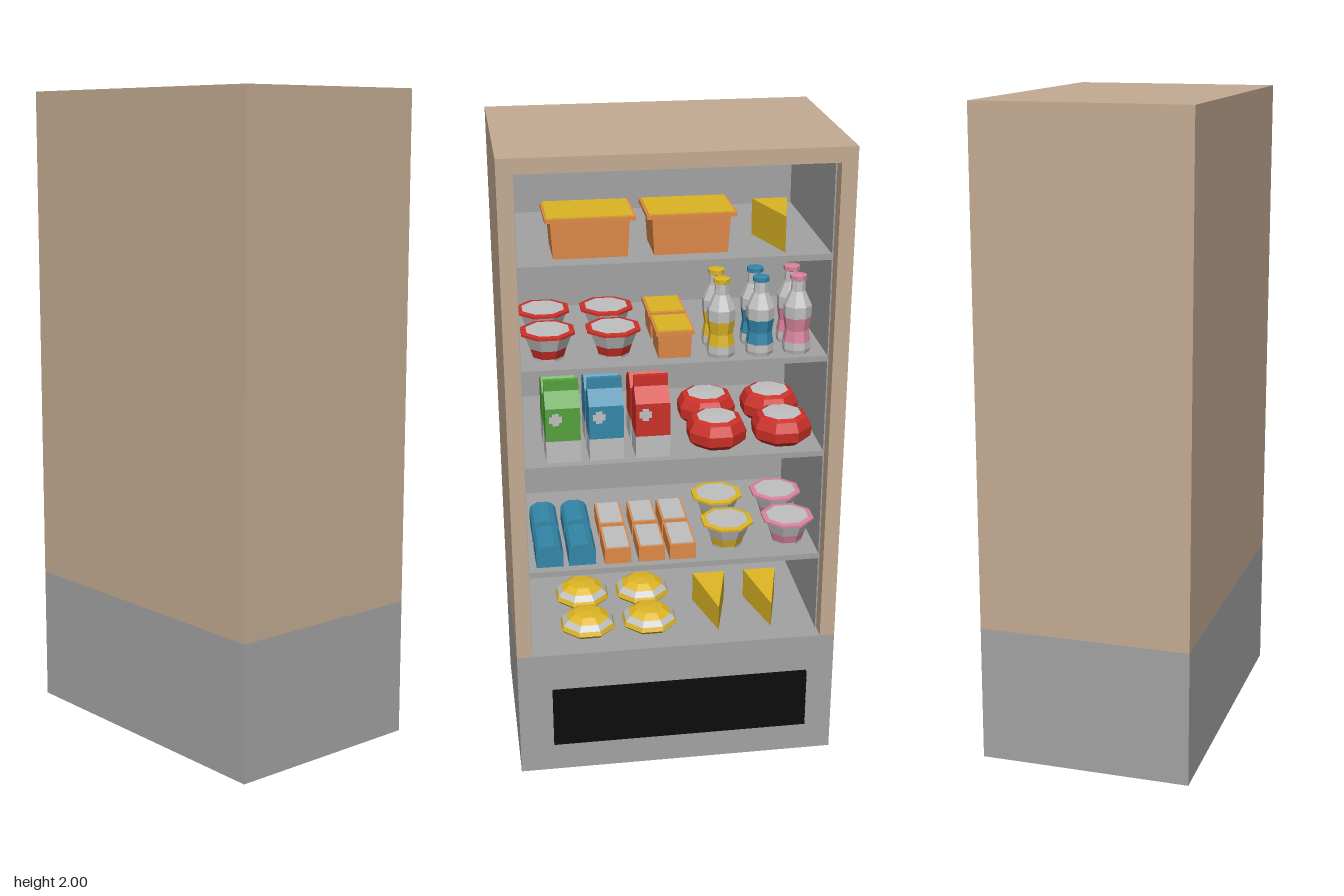
import * as THREE from 'three';

const mat = (name, color) => {
  const m = new THREE.MeshStandardMaterial({ color, flatShading: true });
  m.name = name;
  return m;
};

export function createModel() {
  const tan = mat('tan', 0xc4ab93), grey = mat('grey', 0xa3a3a3), black = mat('black', 0x0b0b0b);
  const pale = mat('pale', 0xc0c0c0), orange = mat('orange', 0xe08a48), yellow = mat('yellow', 0xdcb424);
  const red = mat('red', 0xcc3028), blue = mat('blue', 0x3486a8), green = mat('green', 0x55a03c);
  const pink = mat('pink', 0xd8849c);
  const root = new THREE.Group();
  root.name = 'foodCabinet';

  const add = (parent, name, geo, material, x = 0, y = 0, z = 0) => {
    const m = new THREE.Mesh(geo, material);
    m.name = name;
    m.position.set(x, y, z);
    parent.add(m);
    return m;
  };
  // box given by its bounds
  const box = (parent, name, material, x0, x1, y0, y1, z0, z1) =>
    add(parent, name, new THREE.BoxGeometry(x1 - x0, y1 - y0, z1 - z0), material,
      (x0 + x1) / 2, (y0 + y1) / 2, (z0 + z1) / 2);
  const lathe = (parent, name, material, pts, sides = 8) =>
    add(parent, name, new THREE.LatheGeometry(pts.map(p => new THREE.Vector2(...p)), sides, Math.PI / 8), material);
  const item = (name, x, y, z) => {
    const g = new THREE.Group();
    g.name = name;
    g.position.set(x, y, z);
    root.add(g);
    return g;
  };
  // side profile in x and y, extruded across z
  const prism = (parent, name, material, pts, width) => {
    const geo = new THREE.ExtrudeGeometry(new THREE.Shape(pts.map(p => new THREE.Vector2(...p))),
      { depth: width, bevelEnabled: false });
    return add(parent, name, geo.translate(0, 0, -width / 2), material);
  };

  // cabinet shell
  const X0 = -0.335, X1 = 0.32, Z = 0.505, ZI = 0.458, FLOOR = 0.425, CEIL = 1.955, XB = -0.29, XF = 0.27;
  box(root, 'base', [grey, grey, grey, black, grey, grey], X0, X1, 0, FLOOR, -Z, Z);
  box(root, 'top', tan, X0, X1, CEIL, 2, -Z, Z);
  box(root, 'backWall', tan, X0, XB, FLOOR, CEIL, -Z, Z);
  box(root, 'ceilingLining', grey, XB, XF, CEIL - 0.004, CEIL, -ZI, ZI);
  box(root, 'backLining', grey, XB, XB + 0.004, FLOOR, CEIL, -ZI, ZI);
  for (const s of [-1, 1]) {
    const side = box(root, 'sideWall', tan, XB, X1, FLOOR, CEIL, ZI, Z);
    const lining = box(root, 'sideLining', grey, XB, XF, FLOOR, CEIL, ZI - 0.004, ZI);
    side.position.z *= s;
    lining.position.z *= s;
  }
  const shelfY = [0.695, 1.05, 1.36, 1.675];
  for (const y of shelfY) box(root, 'shelf', grey, XB, XF, y - 0.018, y, -ZI, ZI);

  // vent grille with slats
  box(root, 'grille', black, X1, 0.329, 0.1, 0.3, -0.417, 0.398);
  for (let i = 0; i < 10; i++)
    box(root, 'grilleSlat', black, 0.329, 0.335, 0.102 + i * 0.02, 0.116 + i * 0.02, -0.417, 0.398);

  // bin with a tapered body, rim and lid
  const bin = (x, y, z, w, d, h) => {
    const g = item('lidded bin', x, y, z);
    const body = new THREE.CylinderGeometry(Math.SQRT1_2, Math.SQRT1_2 * 0.94, h - 0.01, 4).rotateY(Math.PI / 4);
    add(g, 'binBody', body.scale(d * 0.88, 1, w * 0.88), orange, 0, (h - 0.01) / 2);
    box(g, 'binRim', orange, -d / 2, d / 2, h - 0.015, h - 0.003, -w / 2, w / 2);
    box(g, 'binLid', yellow, -d / 2 + 0.006, d / 2 - 0.006, h - 0.003, h, -w / 2 + 0.006, w / 2 - 0.006);
  };
  for (const z of [0.24, -0.052]) bin(0.13, shelfY[3], z, 0.26, 0.19, 0.125);
  for (const x of [0.16, -0.01]) bin(x, shelfY[2], -0.003, 0.115, 0.15, 0.09);

  // cheese wedge, tip towards the opening
  const cheese = (x, y, z, h, drop, tipShift) => {
    const shape = new THREE.Shape([[-0.1, -0.053], [0.1, tipShift], [-0.1, 0.053]].map(p => new THREE.Vector2(...p)));
    const geo = new THREE.ExtrudeGeometry(shape, { depth: h, bevelEnabled: false }).rotateX(-Math.PI / 2);
    const p = geo.attributes.position;
    for (let i = 0; i < p.count; i++)
      if (p.getY(i) > h / 2 && p.getX(i) > 0) p.setY(i, h - drop);
    geo.computeVertexNormals();
    add(root, 'cheeseWedge', geo, yellow, x, y, z);
  };
  cheese(0.14, shelfY[3], -0.315, 0.108, 0, 0.008);
  for (const z of [-0.145, -0.315]) cheese(0.14, FLOOR, z, 0.1, 0.018, 0);

  // round cheeses
  for (const x of [0.16, -0.03]) for (const z of [0.268, 0.068]) {
    const g = item('round cheese', x, FLOOR, z);
    lathe(g, 'cheeseRind', yellow, [[0, 0], [0.08, 0], [0.092, 0.012], [0.086, 0.026]]);
    lathe(g, 'cheeseBand', pale, [[0.086, 0.026], [0.07, 0.042]]);
    lathe(g, 'cheeseTop', yellow, [[0.07, 0.042], [0.045, 0.057], [0, 0.061]]);
  }

  // bowls with a coloured band and rim
  const bowl = (x, y, z, c) => {
    const g = item('bowl', x, y, z);
    lathe(g, 'bowlFoot', pale, [[0, 0], [0.048, 0], [0.049, 0.008]]);
    lathe(g, 'bowlBand', c, [[0.049, 0.008], [0.058, 0.036]]);
    lathe(g, 'bowlSide', pale, [[0.058, 0.036], [0.075, 0.078], [0.085, 0.079]]);
    lathe(g, 'bowlRim', c, [[0.085, 0.079], [0.085, 0.086], [0.068, 0.088]]);
    lathe(g, 'bowlLid', pale, [[0.068, 0.088], [0, 0.088]]);
  };
  for (const x of [0.16, -0.03]) {
    for (const z of [0.367, 0.173]) bowl(x, shelfY[2], z, red);
    bowl(x, shelfY[0], -0.18, yellow);
    bowl(x, shelfY[0], -0.375, pink);
  }

  // bottles with a coloured label and cap
  for (const x of [0.21, 0.12]) [[-0.143, yellow], [-0.26, blue], [-0.372, pink]].forEach(([z, c]) => {
    const g = item('bottle', x, shelfY[2], z);
    lathe(g, 'bottleBase', pale, [[0, 0], [0.04, 0], [0.043, 0.012], [0.042, 0.035]]);
    lathe(g, 'bottleLabel', c, [[0.042, 0.035], [0.036, 0.07], [0.042, 0.11]]);
    lathe(g, 'bottleNeck', pale, [[0.042, 0.11], [0.043, 0.145], [0.022, 0.19], [0.02, 0.222]]);
    lathe(g, 'bottleCap', c, [[0.02, 0.222], [0.025, 0.224], [0.025, 0.237], [0, 0.24]]);
  });

  // milk cartons with a gable top
  for (const x of [0.19, 0.06]) [[0.335, green], [0.205, blue], [0.065, red]].forEach(([z, c]) => {
    const g = item('carton', x, shelfY[1], z), w = 0.104, d = 0.052;
    box(g, 'cartonBase', pale, -d, d, 0, 0.07, -w / 2, w / 2);
    prism(g, 'cartonTop', c, [[-d, 0.07], [d, 0.07], [d, 0.175], [0.008, 0.215], [0.008, 0.248],
      [-0.008, 0.248], [-0.008, 0.215], [-d, 0.175]], w);
    box(g, 'cartonEmblem', pale, d, d + 0.002, 0.121, 0.159, 0.012, 0.032);
    box(g, 'cartonEmblem', pale, d, d + 0.002, 0.13, 0.15, 0.003, 0.041);
  });

  // round red packs
  for (const x of [0.155, -0.035]) for (const z of [-0.143, -0.347]) {
    const g = item('red pack', x, shelfY[1], z);
    lathe(g, 'packSide', red, [[0, 0], [0.072, 0], [0.093, 0.018], [0.095, 0.05], [0.08, 0.08], [0.062, 0.087]]);
    lathe(g, 'packTop', pale, [[0.062, 0.087], [0, 0.09]]);
  }

  // small tubs and rounded loaves
  for (const x of [0.17, 0]) {
    for (const z of [0.176, 0.07, -0.027]) {
      const g = item('small tub', x, shelfY[0], z);
      box(g, 'tubBody', orange, -0.075, 0.075, 0, 0.052, -0.041, 0.041);
      box(g, 'tubLid', pale, -0.069, 0.069, 0.052, 0.055, -0.035, 0.035);
    }
    for (const z of [0.387, 0.286]) {
      const loaf = prism(root, 'loafPack', blue, [[-0.042, 0], [0.042, 0], [0.042, 0.05], [0.034, 0.063],
        [0.016, 0.072], [-0.016, 0.072], [-0.034, 0.063], [-0.042, 0.05]], 0.14);
      loaf.rotation.y = Math.PI / 2;
      loaf.position.set(x, shelfY[0], z);
    }
  }
  return root;
}
